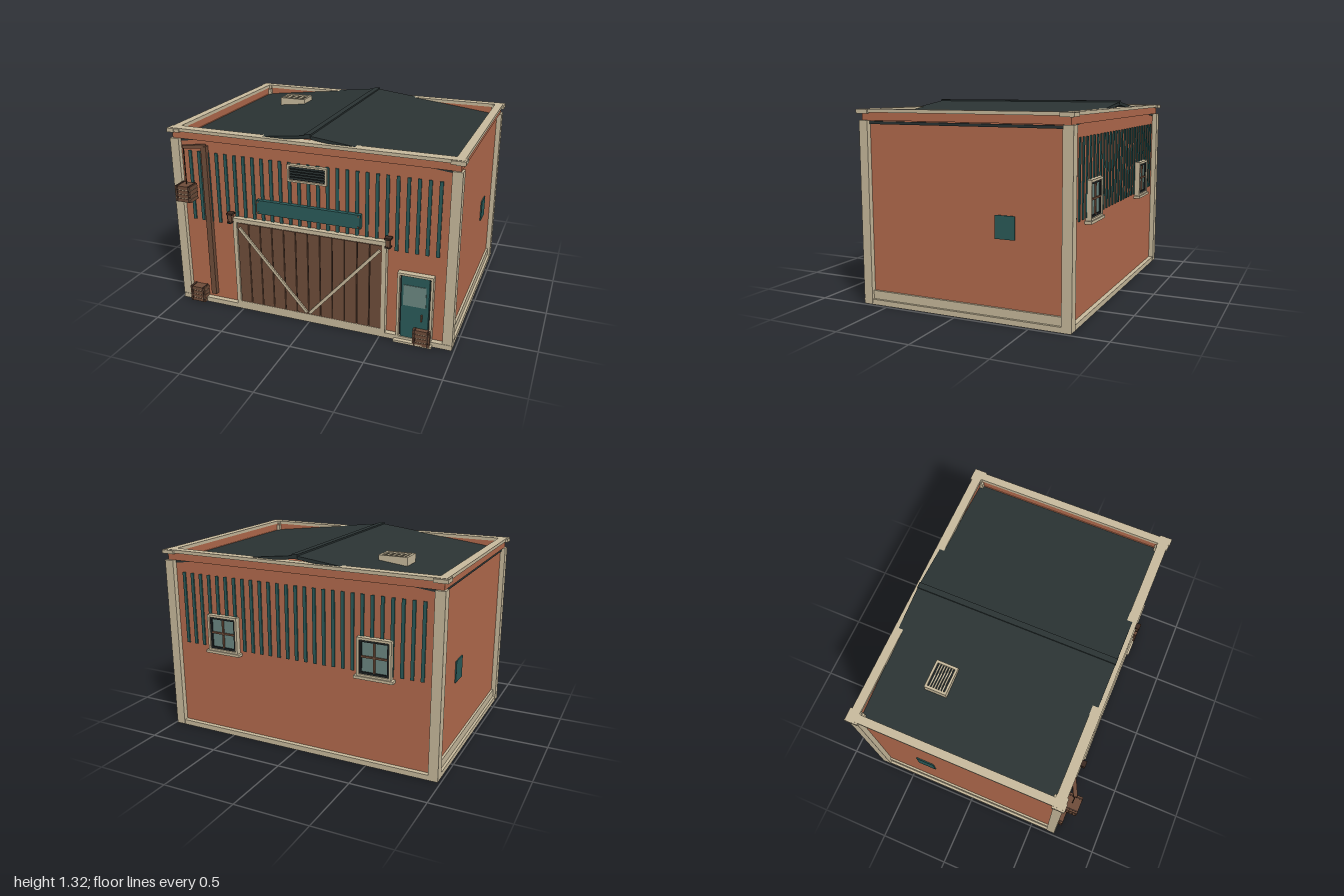
import * as THREE from 'three';

const mat = (name, color) => Object.assign(new THREE.MeshStandardMaterial({ color }), { name });

export function createModel() {
  const model = new THREE.Group();
  model.name = 'barn';
  const clay = mat('terracotta wall', 0xb56c4e), tan = mat('tan trim', 0xcabc9e);
  const brown = mat('brown wood', 0x6f4d3a), darkBrown = mat('dark wood', 0x3c2a21);
  const roofMat = mat('dark roof', 0x2b3434), teal = mat('teal paint', 0x2b5c5a);
  const glass = mat('glass', 0x6d8983), black = mat('black louvre', 0x1c2122);

  // box given by its lower and upper limits on each axis
  const box = (name, m, x0, x1, y0, y1, z0, z1, parent = model) => {
    const mesh = new THREE.Mesh(new THREE.BoxGeometry(x1 - x0, y1 - y0, z1 - z0), m);
    mesh.position.set((x0 + x1) / 2, (y0 + y1) / 2, (z0 + z1) / 2);
    mesh.name = name;
    parent.add(mesh);
    return mesh;
  };
  const group = (name, x = 0, y = 0, z = 0) => {
    const g = new THREE.Group();
    g.name = name;
    g.position.set(x, y, z);
    model.add(g);
    return g;
  };
  // horizontal rectangular ring: outer and inner limits
  const ring = (name, m, xo, xi, y0, y1, zf, zfi, zb, zbi) => {
    const g = group(name);
    box(name + 'Front', m, -xo, xo, y0, y1, zfi, zf, g);
    box(name + 'Back', m, -xo, xo, y0, y1, zb, zbi, g);
    for (const s of [-1, 1]) {
      const a = s * xo, b = s * xi;
      box(name + 'Side', m, Math.min(a, b), Math.max(a, b), y0, y1, zbi, zfi, g);
    }
  };
  // upright rectangular frame on an x-y plane
  const frame = (name, m, x0, x1, y0, y1, t, z0, z1, parent = model) => {
    box(name, m, x0, x0 + t, y0, y1, z0, z1, parent);
    box(name, m, x1 - t, x1, y0, y1, z0, z1, parent);
    box(name, m, x0 + t, x1 - t, y1 - t, y1, z0, z1, parent);
    box(name, m, x0 + t, x1 - t, y0, y0 + t, z0, z1, parent);
  };

  // walls, parapet, base and coping
  box('walls', clay, -0.95, 0.95, 0.03, 1.16, -0.73, 0.65);
  ring('upperWall', clay, 0.95, 0.93, 1.16, 1.2, 0.65, 0.62, -0.73, -0.7);
  ring('parapet', clay, 0.97, 0.935, 1.2, 1.25, 0.668, 0.625, -0.747, -0.705);
  ring('coping', tan, 0.985, 0.93, 1.25, 1.272, 0.682, 0.615, -0.76, -0.7);
  box('baseSlab', tan, -0.982, 0.982, 0, 0.035, -0.76, 0.685);
  box('basePlinth', tan, -0.965, 0.965, 0.035, 0.09, -0.728, 0.648);

  // corner posts with coping blocks
  for (const s of [-1, 1]) for (const [z0, z1, c0, c1] of [[0.62, 0.682, 0.605, 0.695], [-0.765, -0.7, -0.775, -0.685]]) {
    const x = s * 0.952;
    box('cornerPost', tan, x - 0.032, x + 0.032, 0.005, 1.2, z0, z1);
    box('copingBlock', tan, s * 0.953 - 0.045, s * 0.953 + 0.045, 1.245, 1.268, z0 - 0.008, z1 + 0.008);
    box('copingOverlap', tan, s * 0.97 - 0.026, s * 0.97 + 0.026, 1.243, 1.27, Math.min(z0, c0) + 0.01, Math.max(z1, c1));
    box('cornerPeg', tan, s * 0.92 - 0.012, s * 0.92 + 0.012, 1.19, 1.24, z0 > 0 ? 0.6 : -0.702, z0 > 0 ? 0.625 : -0.68);
  }

  // low gable roof with ridge cap
  const slope = new THREE.Shape([[-0.957, 1.176], [0, 1.288], [0.957, 1.176], [0.957, 1.194], [0, 1.31], [-0.957, 1.194]]
    .map(p => new THREE.Vector2(...p)));
  const roof = new THREE.Mesh(new THREE.ExtrudeGeometry(slope, { depth: 1.384, bevelEnabled: false }), roofMat);
  roof.position.z = -0.732;
  roof.name = 'roof';
  model.add(roof);
  box('ridgeCap', roofMat, -0.02, 0.02, 1.295, 1.318, -0.734, 0.654);

  // roof vent
  const vent = group('roofVent');
  box('ventCore', black, -0.6, -0.435, 1.21, 1.283, -0.39, -0.27, vent);
  for (const [a, b] of [[-0.615, -0.598], [-0.437, -0.42]]) box('ventRim', tan, a, b, 1.21, 1.292, -0.405, -0.255, vent);
  for (const [a, b] of [[-0.405, -0.39], [-0.27, -0.255]]) box('ventRim', tan, -0.598, -0.437, 1.21, 1.292, a, b, vent);
  for (let i = 0; i < 6; i++) box('ventSlat', tan, -0.598, -0.437, 1.28, 1.287, -0.377 + i * 0.0175, -0.37 + i * 0.0175, vent);

  // painted battens on front and back
  for (let i = 0; i < 27; i++) {
    const x = -0.855 + i * 0.0658;
    box('frontBatten', teal, x - 0.011, x + 0.011, 0.625, 1.12, 0.648, 0.658);
    box('backBatten', teal, x - 0.011, x + 0.011, 0.625, 1.12, -0.738, -0.728);
  }

  // louvre and sign board above the barn door
  box('louvrePanel', black, -0.125, 0.125, 1.01, 1.105, 0.65, 0.664);
  frame('louvreFrame', tan, -0.135, 0.135, 1, 1.115, 0.012, 0.65, 0.678);
  for (let i = 0; i < 5; i++) {
    const slat = box('louvreSlat', roofMat, -0.12, 0.12, 1.018 + i * 0.018, 1.024 + i * 0.018, 0.658, 0.674);
    slat.rotation.x = 0.5;
  }
  box('signBoard', teal, -0.363, 0.36, 0.745, 0.84, 0.65, 0.68);
  for (const x of [-0.35, 0.347]) for (const y of [0.757, 0.828]) box('signBolt', brown, x - 0.005, x + 0.005, y - 0.005, y + 0.005, 0.678, 0.684);

  // barn door with planks and diagonal braces
  const door = group('barnDoor');
  box('doorBacking', darkBrown, -0.515, 0.513, 0.05, 0.665, 0.65, 0.677, door);
  frame('doorFrame', tan, -0.543, 0.537, 0.035, 0.69, 0.028, 0.65, 0.69, door);
  for (let i = 0; i < 12; i++) {
    const x = -0.512 + i * 0.0854;
    box('doorPlank', brown, x + 0.003, x + 0.0824, 0.06, 0.658, 0.66, 0.688, door);
  }
  for (const s of [-1, 1]) {
    const brace = box('doorBrace', tan, -0.01, 0.01, -0.367, 0.367, -0.006, 0.006, door);
    brace.position.set(s * 0.252, 0.352, 0.692);
    brace.rotation.z = -s * Math.atan2(0.48, 0.545);
  }

  // lanterns beside the barn door
  for (const x of [-0.555, 0.55]) {
    const g = group('lantern', x, 0, 0);
    box('lanternArm', darkBrown, -0.007, 0.007, 0.705, 0.718, 0.65, 0.7, g);
    box('lanternBody', brown, -0.014, 0.014, 0.668, 0.715, 0.68, 0.708, g);
    box('lanternCap', darkBrown, -0.022, 0.022, 0.715, 0.728, 0.672, 0.715, g);
    box('lanternFoot', darkBrown, -0.018, 0.018, 0.658, 0.668, 0.676, 0.712, g);
  }

  // small entrance door
  const entry = group('entryDoor');
  box('entryRecess', black, 0.625, 0.835, 0.03, 0.48, 0.65, 0.666, entry);
  frame('entryFrame', tan, 0.613, 0.847, 0.02, 0.494, 0.016, 0.65, 0.69, entry);
  box('entryPanel', teal, 0.64, 0.822, 0.035, 0.474, 0.65, 0.683, entry);
  box('entryGlass', glass, 0.655, 0.803, 0.27, 0.415, 0.68, 0.687, entry);
  box('entryHandle', brown, 0.775, 0.784, 0.175, 0.22, 0.68, 0.698, entry);
  box('entryStep', tan, 0.6, 0.857, 0, 0.015, 0.65, 0.714, entry);

  // back windows
  for (const x of [-0.55, 0.55]) {
    const g = group('backWindow', x, 0, 0);
    box('windowGlass', glass, -0.1, 0.1, 0.62, 0.84, -0.747, -0.73, g);
    frame('windowFrame', tan, -0.115, 0.115, 0.605, 0.857, 0.016, -0.766, -0.73, g);
    frame('windowSash', black, -0.099, 0.099, 0.621, 0.841, 0.014, -0.757, -0.73, g);
    box('windowBar', brown, -0.006, 0.006, 0.63, 0.83, -0.757, -0.74, g);
    box('windowBar', brown, -0.09, 0.09, 0.727, 0.739, -0.757, -0.74, g);
    box('windowSill', tan, -0.132, 0.132, 0.59, 0.608, -0.774, -0.73, g);
  }

  // side hatches
  box('rightHatch', teal, 0.948, 0.958, 0.513, 0.657, -0.392, -0.262);
  box('leftHatch', teal, -0.958, -0.948, 0.513, 0.657, -0.392, -0.262);

  // hoist post, slanted arm and rope
  box('hoistPost', brown, -0.755, -0.716, 0.07, 1.165, 0.645, 0.682);
  const arm = box('hoistArm', brown, -0.076, 0.076, -0.011, 0.011, -0.013, 0.013);
  arm.position.set(-0.797, 1.164, 0.69);
  arm.rotation.y = Math.atan2(0.06, 0.125);
  box('hoistRope', darkBrown, -0.863, -0.857, 0.89, 1.16, 0.717, 0.723);

  // slatted crates
  for (const [x, y, z] of [[-0.86, 0.79, 0.727], [-0.85, 0.005, 0.668], [0.787, 0.005, 0.668]]) {
    const g = group('crate', x, y, z);
    box('crateCore', darkBrown, -0.052, 0.052, 0.004, 0.11, -0.042, 0.042, g);
    for (let i = 0; i < 4; i++) box('crateSlat', brown, -0.057, 0.057, i * 0.029 + 0.001, i * 0.029 + 0.025, -0.046, 0.046, g);
    for (let i = 1; i < 4; i++) box('crateLine', tan, -0.054, 0.054, i * 0.029 - 0.003, i * 0.029, -0.044, 0.044, g);
    for (const s of [-1, 1]) box('crateStrap', darkBrown, s * 0.043 - 0.005, s * 0.043 + 0.005, 0, 0.115, -0.048, 0.048, g);
  }
  return model;
}
